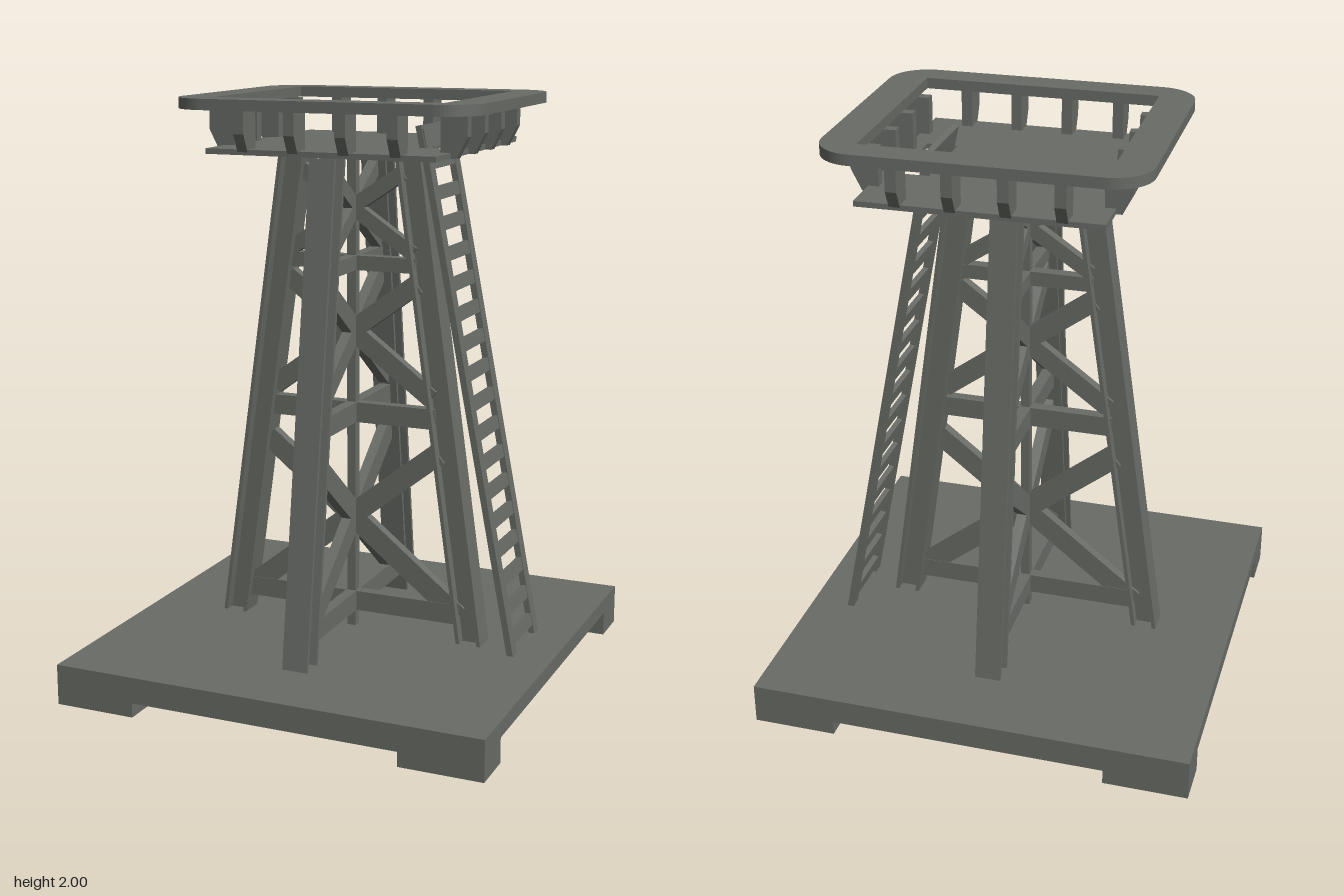
import * as THREE from 'three';

const steel = new THREE.MeshStandardMaterial({ color: 0x686b66 });
steel.name = 'steel grey';

function add(parent, name, geometry, x = 0, y = 0, z = 0) {
  const mesh = new THREE.Mesh(geometry, steel);
  mesh.name = name;
  mesh.position.set(x, y, z);
  parent.add(mesh);
  return mesh;
}

function box(parent, name, x0, x1, y0, y1, z0, z1) {
  return add(parent, name, new THREE.BoxGeometry(x1 - x0, y1 - y0, z1 - z0),
    (x0 + x1) / 2, (y0 + y1) / 2, (z0 + z1) / 2);
}

// Straight bar between two points of the xy plane
function bar(parent, name, [ax, ay], [bx, by], width, depth, z = 0) {
  const mesh = add(parent, name, new THREE.BoxGeometry(width, Math.hypot(bx - ax, by - ay), depth),
    (ax + bx) / 2, (ay + by) / 2, z);
  mesh.rotation.z = -Math.atan2(bx - ax, by - ay);
  return mesh;
}

function polygon(points) {
  return new THREE.Shape(points.map(([x, y]) => new THREE.Vector2(x, y)));
}

function extrude(shape, depth, curveSegments = 6) {
  return new THREE.ExtrudeGeometry(shape, { depth, bevelEnabled: false, curveSegments });
}

function roundedRect(w, h, r) {
  const s = new THREE.Shape();
  s.absarc(w - r, h - r, r, 0, Math.PI / 2);
  s.absarc(-w + r, h - r, r, Math.PI / 2, Math.PI);
  s.absarc(-w + r, -h + r, r, Math.PI, Math.PI * 1.5);
  s.absarc(w - r, -h + r, r, Math.PI * 1.5, Math.PI * 2);
  s.closePath();
  return s;
}

const rect = (x0, x1, y0, y1) => [[x0, y0], [x1, y0], [x1, y1], [x0, y1]];
const legX = (y) => 0.448 - (y - 0.14) * 0.142;

function createBase() {
  const base = new THREE.Group();
  base.name = 'base';
  box(base, 'slab', -0.755, 0.755, 0.085, 0.14, -0.752, 0.752);
  for (const sz of [-1, 1]) {
    box(base, 'edgeStrip', -0.47, 0.47, 0.05, 0.085, sz > 0 ? 0.6 : -0.752, sz > 0 ? 0.752 : -0.6);
    for (const sx of [-1, 1]) {
      add(base, 'foot', new THREE.BoxGeometry(0.285, 0.085, 0.152), sx * 0.6125, 0.0425, sz * 0.676);
    }
  }
  // Slightly tilted underside panel
  const wedge = extrude(polygon([[-0.6, 0.078], [0.6, 0.055], [0.6, 0.1], [-0.6, 0.1]]), 1.4);
  wedge.rotateY(-Math.PI / 2);
  add(base, 'undersidePanel', wedge, 0.7);
  return base;
}

function createFrame() {
  const frame = new THREE.Group();
  frame.name = 'frame';
  // Four leaning I-beam legs, one on each axis
  for (let i = 0; i < 4; i++) {
    const side = new THREE.Group();
    side.name = 'leg';
    side.rotation.y = i * Math.PI / 2;
    const at = (y, offset) => [legX(y) + offset, y];
    for (const offset of [-0.038, 0.038]) {
      bar(side, 'legFlange', at(0.1, offset), at(1.81, offset), 0.013, 0.09);
    }
    bar(side, 'legWeb', at(0.1, 0), at(1.81, 0), 0.07, 0.016);
    frame.add(side);
  }
  // Cross bracing in the two planes joining opposite legs
  for (let i = 0; i < 2; i++) {
    const plane = new THREE.Group();
    plane.name = 'bracing';
    plane.rotation.y = i * Math.PI / 2;
    for (const [y, h] of [[0.235, 0.07], [0.92, 0.07], [1.44, 0.05]]) {
      const x = legX(y) - 0.03;
      bar(plane, 'crossbeam', [-x, y], [x, y], h, 0.04);
    }
    for (const [y0, y1, w] of [[0.23, 0.8, 0.075], [0.99, 1.38, 0.065], [1.48, 1.75, 0.05]]) {
      for (const s of [-1, 1]) {
        bar(plane, 'diagonalBrace', [-s * (legX(y0) - 0.035), y0], [s * (legX(y1) - 0.035), y1], w, 0.036);
      }
    }
    frame.add(plane);
  }
  box(frame, 'centrePost', -0.016, 0.016, 0.13, 1.81, -0.016, 0.016);
  return frame;
}

function createPlatform() {
  const platform = new THREE.Group();
  platform.name = 'platform';
  platform.position.set(0.025, 0, -0.06);
  platform.rotation.y = 0.018;

  // Floor with the ladder hatch cut out
  const floor = polygon(rect(-0.395, 0.395, -0.42, 0.42));
  floor.holes.push(new THREE.Path(polygon(rect(0.235, 0.34, -0.15, 0.15)).getPoints()));
  add(platform, 'floor', extrude(floor, 0.018).rotateX(-Math.PI / 2), 0, 1.822);

  // Rounded top rail
  const rail = roundedRect(0.523, 0.455, 0.13);
  rail.holes.push(new THREE.Path(polygon(rect(-0.4, 0.4, -0.355, 0.355)).getPoints()));
  add(platform, 'topRail', extrude(rail, 0.036, 8).rotateX(-Math.PI / 2), 0, 1.964);

  // Chamfered brackets, four on each side
  const profile = polygon([[0.36, 1.822], [0.415, 1.822], [0.45, 1.89], [0.45, 1.966], [0.36, 1.966]]);
  const bracket = extrude(profile, 0.036).translate(0, 0, -0.018);
  for (let i = 0; i < 4; i++) {
    const side = new THREE.Group();
    side.name = 'bracketRow';
    side.rotation.y = i * Math.PI / 2;
    for (let k = 0; k < 4; k++) add(side, 'bracket', bracket, 0, 0, (k - 1.5) * 0.175);
    platform.add(side);
  }
  return platform;
}

function createLadder() {
  const ladder = new THREE.Group();
  ladder.name = 'ladder';
  const at = (y) => [0.612 - (y - 0.14) * 0.193, y];
  for (const z of [0.06, -0.18]) bar(ladder, 'ladderRail', at(0.13), at(1.9), 0.022, 0.045, z);
  for (let k = 0; k < 17; k++) {
    const y = 0.19 + k * 0.1;
    bar(ladder, 'rung', at(y - 0.022), at(y + 0.022), 0.018, 0.2, -0.06);
  }
  // Hatch plate standing at the ladder head
  bar(ladder, 'hatchPlate', [0.282, 1.838], [0.266, 1.912], 0.02, 0.3, -0.062);
  return ladder;
}

export function createModel() {
  const model = new THREE.Group();
  model.name = 'watchtower';
  model.add(createBase(), createFrame(), createPlatform(), createLadder());
  return model;
}
